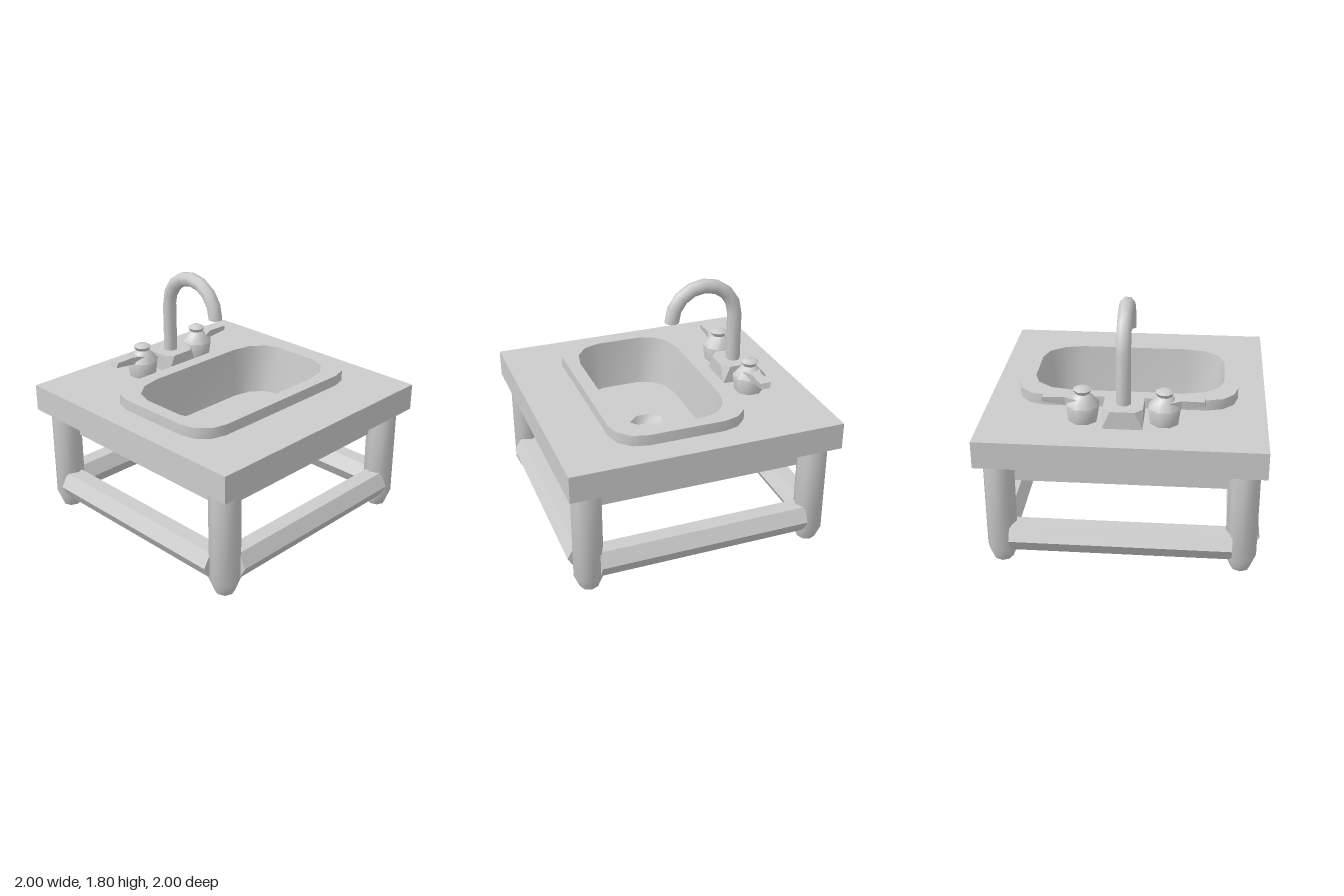
import * as THREE from 'three';
import { toCreasedNormals } from 'three/addons/utils/BufferGeometryUtils.js';

const grey = new THREE.MeshStandardMaterial({ color: 0xcccccc });
grey.name = 'grey';

// Skin over loops of [x, y, z] points with equal counts; caps are fans.
function loft(loops, capStart, capEnd, crease = 0.9) {
  const pos = [];
  const tri = (a, b, c) => pos.push(...a, ...b, ...c);
  const n = loops[0].length;
  for (let k = 0; k + 1 < loops.length; k++) {
    for (let i = 0; i < n; i++) {
      const j = (i + 1) % n;
      const [a, b, c, d] = [loops[k][i], loops[k][j], loops[k + 1][i], loops[k + 1][j]];
      tri(a, c, b);
      tri(b, c, d);
    }
  }
  const first = loops[0], last = loops[loops.length - 1];
  for (let i = 1; i + 1 < n; i++) {
    if (capStart) tri(first[0], first[i], first[i + 1]);
    if (capEnd) tri(last[0], last[i + 1], last[i]);
  }
  const geo = new THREE.BufferGeometry();
  geo.setAttribute('position', new THREE.Float32BufferAttribute(pos, 3));
  return toCreasedNormals(geo, crease);
}

function mesh(geo, name, parent) {
  const m = new THREE.Mesh(geo, grey);
  m.name = name;
  parent.add(m);
  return m;
}

// Octagon with flats facing the axes; rep repeats every corner
function octagon(r, y, z = 0, rep = 1) {
  return Array.from({ length: 8 * rep }, (_, i) => {
    const a = (Math.floor(i / rep) + 0.5) * Math.PI / 4;
    return [r * Math.cos(a), y, z + r * Math.sin(a)];
  });
}

// Rectangle with rounded corners of size cx by cz, three facets each
const BASIN_Z = 0.1;
function roundedLoop(hx, hz, cx, cz, y) {
  const pts = [];
  for (let q = 0; q < 4; q++) {
    const sx = q === 0 || q === 3 ? 1 : -1, sz = q < 2 ? 1 : -1;
    for (let k = 0; k < 4; k++) {
      const a = (q + k / 3) * Math.PI / 2;
      pts.push([sx * (hx - cx) + cx * Math.cos(a), y, BASIN_Z + sz * (hz - cz) + cz * Math.sin(a)]);
    }
  }
  return pts;
}

// Square slab with a hole, from y0 up
function slab(half, hole, y0, height) {
  const square = (h) => [[-h, -h], [h, -h], [h, h], [-h, h]].map(([x, y]) => new THREE.Vector2(x, y));
  const shape = new THREE.Shape(square(half));
  shape.holes.push(new THREE.Path(hole ? hole.map(([x, , z]) => new THREE.Vector2(x, -z)) : square(half - 0.05)));
  return new THREE.ExtrudeGeometry(shape, { depth: height, bevelEnabled: false })
    .rotateX(-Math.PI / 2).translate(0, y0, 0);
}

function makeHandle(side) {
  const g = new THREE.Group();
  g.name = side > 0 ? 'leftTapHandle' : 'rightTapHandle';
  // turned body with a cap on top
  const profile = [[0.105, 1], [0.122, 1.12], [0.065, 1.185], [0.05, 1.2], [0.068, 1.23], [0.035, 1.25]];
  mesh(loft(profile.map(([r, y]) => octagon(r, y)), true, true), 'handleBody', g);
  // lever: x, upper and lower half width, upper and lower height
  const sections = [[0.03, 0.07, 0.06, 1.17, 1.1], [0.12, 0.037, 0.03, 1.18, 1.12], [0.28, 0.043, 0.033, 1.18, 1.14]];
  mesh(loft(sections.map(([x, w, v, top, low], i) => {
    const xl = i === 2 ? x + 0.005 : x, xt = i === 2 ? x - 0.005 : x;
    return [[xt, top, w], [xt, top, -w], [xl, low, -v], [xl, low, v]];
  }), true, true, 0.3), 'lever', g);
  if (side < 0) g.rotation.y = Math.PI;
  g.position.set(side * 0.285, 0, -0.595);
  return g;
}

export function createModel() {
  const model = new THREE.Group();
  model.name = 'sinkTable';

  // Table top, and the hollow box below it
  mesh(slab(1, roundedLoop(0.75, 0.45, 0.26, 0.22, 0), 0.8, 0.2), 'tableTop', model);
  mesh(slab(0.8, null, 0.6, 0.2), 'basinBox', model);
  mesh(new THREE.BoxGeometry(1.56, 0.02, 1.56).translate(0, 0.61, 0), 'basinBoxBottom', model);

  // Basin: raised rim, sloping wall, floor and drain
  mesh(loft([
    roundedLoop(0.8, 0.5, 0.22, 0.22, 1),
    roundedLoop(0.8, 0.5, 0.22, 0.22, 1.08),
    roundedLoop(0.7, 0.4, 0.29, 0.23, 1.08),
    roundedLoop(0.66, 0.365, 0.26, 0.22, 0.7),
    octagon(0.133, 0.7, BASIN_Z, 2),
    octagon(0.097, 0.64, BASIN_Z, 2),
  ], false, true), 'basin', model);

  // Legs with tapered feet
  for (const x of [-0.85, 0.85]) {
    for (const z of [-0.85, 0.85]) {
      const ring = (r, y) => Array.from({ length: 8 }, (_, i) => {
        const a = i * Math.PI / 4;
        return [x + r * Math.cos(a), y, z + r * Math.sin(a)];
      });
      mesh(loft([ring(0.07, 0), ring(0.11, 0.1), ring(0.11, 0.8)], true, false), 'leg', model);
    }
  }

  // Hexagonal rails between the legs
  const railGeo = toCreasedNormals(
    new THREE.CylinderGeometry(0.1155, 0.1155, 1.57, 6).rotateZ(Math.PI / 2), 0.3);
  for (let i = 0; i < 4; i++) {
    const pivot = new THREE.Group();
    pivot.name = 'railSide';
    pivot.rotation.y = i * Math.PI / 2;
    mesh(railGeo, 'rail', pivot).position.set(0, 0.2, 0.865);
    model.add(pivot);
  }

  // Tap base: square foot, corners cut off towards the top
  const foot = [], head = [];
  const c = 0.14, d = 0.085;
  for (const [sx, sz] of [[1, 1], [-1, 1], [-1, -1], [1, -1]]) {
    foot.push([sx * c, 1, -0.595 + sz * c], [sx * c, 1, -0.595 + sz * c]);
    const a = [sx * c, 1.13, -0.595 + sz * d], b = [sx * d, 1.13, -0.595 + sz * c];
    head.push(...(sx * sz > 0 ? [a, b] : [b, a]));
  }
  mesh(loft([foot, head], true, true, 0.3), 'tapBase', model);

  // Gooseneck spout
  const rings = [octagon(0.054, 1.1, -0.59)];
  for (let k = 0; k <= 8; k++) {
    const t = k * Math.PI / 8;
    rings.push(octagon(0.054, 0).map(([x, , s]) => [
      x,
      1.5 + 0.25 * Math.sin(t) - s * Math.sin(t),
      -0.34 - 0.25 * Math.cos(t) + s * Math.cos(t),
    ]));
  }
  mesh(loft(rings, true, true), 'spout', model);

  model.add(makeHandle(1), makeHandle(-1));
  return model;
}
